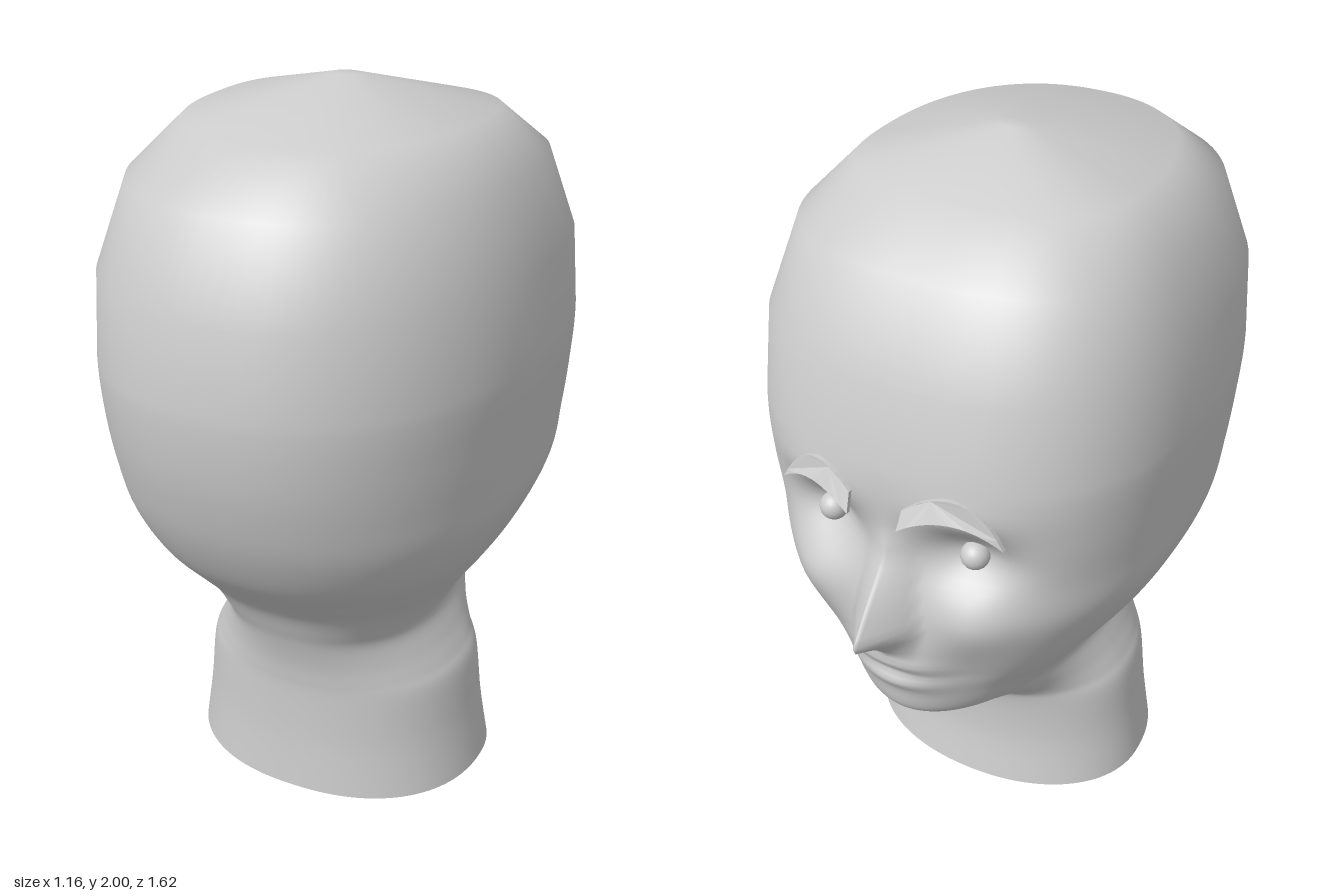
import * as THREE from 'three';

const skin = new THREE.MeshStandardMaterial({ color: 0xcccccc, side: THREE.DoubleSide });
skin.name = 'plain grey';

// Cross-sections: height, half width, back z, front z, squareness of the face side
const SECTIONS = [
  [0, 0.445, 0.41, -0.285, 2.1], [0.16, 0.42, 0.4, -0.26, 2.1], [0.32, 0.4, 0.4, -0.265, 2.1],
  [0.38, 0.375, 0.405, -0.3, 2], [0.44, 0.345, 0.415, -0.4, 1.9], [0.51, 0.318, 0.435, -0.55, 1.9],
  [0.56, 0.335, 0.455, -0.61, 2], [0.64, 0.385, 0.495, -0.63, 2.1], [0.72, 0.44, 0.565, -0.65, 2.2],
  [0.82, 0.5, 0.655, -0.655, 2.3], [0.94, 0.547, 0.725, -0.645, 2.5], [1.06, 0.562, 0.77, -0.63, 2.6],
  [1.2, 0.573, 0.803, -0.63, 2.7], [1.36, 0.58, 0.815, -0.625, 2.7], [1.58, 0.566, 0.8, -0.585, 2.7],
  [1.8, 0.495, 0.7, -0.47, 2.8], [1.92, 0.38, 0.52, -0.3, 2.8], [2, 0.04, 0.06, 0.0, 2], [2, 0, 0.03, 0.03, 2],
];
const CENTRE_Z = 0.03;

const spline = (a, b, c, d, t) =>
  0.5 * (2 * b + (c - a) * t + (2 * a - 5 * b + 4 * c - d) * t * t + (3 * b - a - 3 * c + d) * t ** 3);

// Straight-line lookup in a list of [input, output] points
function lookup(points, v) {
  for (let i = 1; i < points.length; i++) {
    const [a, p] = points[i - 1], [b, q] = points[i];
    if (v >= a && v <= b) return p + (q - p) * (v - a) / (b - a);
  }
  return 0;
}

const NOSE = [[0.79, 0], [0.85, 0.06], [0.91, 0.16], [1.0, 0.1], [1.1, 0.025], [1.18, 0]];
const NOSE_WIDTH = [[0.79, 0.09], [0.9, 0.1], [1.18, 0.06]];
const bump = (x, y, cx, cy, sx, sy) => Math.exp(-(((x - cx) / sx) ** 2) - ((y - cy) / sy) ** 2);

// How far the face stands forward at a point
function faceRelief(x, y) {
  const ax = Math.abs(x);
  let out = 0;
  if (y > 0.79 && y < 1.18) out += lookup(NOSE, y) * Math.max(0, 1 - ax / lookup(NOSE_WIDTH, y));
  out -= 0.08 * bump(ax, y, 0.2, 1.13, 0.12, 0.085);  // eye sockets
  out += 0.012 * bump(ax, y, 0.2, 1.27, 0.13, 0.05);  // brow ridge
  out += 0.025 * bump(ax, y, 0.25, 0.95, 0.1, 0.09);  // cheeks
  out -= 0.025 * bump(ax, y, 0.2, 0.74, 0.08, 0.1);   // hollows beside the mouth
  out += 0.012 * bump(x, y, 0, 0.765, 0.12, 0.025);   // upper lip
  out += 0.012 * bump(x, y, 0, 0.685, 0.1, 0.025);    // lower lip
  out -= 0.012 * bump(x, y, 0, 0.725, 0.13, 0.018);   // mouth line
  return out;
}

function headGeometry() {
  const rows = [];
  SECTIONS.forEach((s, i) => {
    if (i === SECTIONS.length - 1) return rows.push(s);
    const before = SECTIONS[Math.max(i - 1, 0)], next = SECTIONS[i + 1];
    const after = SECTIONS[Math.min(i + 2, SECTIONS.length - 1)];
    const steps = s[0] < 1.3 ? 6 : 1; // the crown keeps its broad bands
    for (let k = 0; k < steps; k++) {
      rows.push(s.map((v, n) => spline(before[n], v, next[n], after[n], k / steps)));
    }
  });
  const cols = 160, pos = [], index = [];
  rows.forEach(([y, w, back, front, square], j) => {
    for (let i = 0; i < cols; i++) {
      const u = (2 * i) / cols - 1;
      const t = Math.sign(u) * Math.PI * Math.abs(u) ** 1.5; // finer at the face
      const s = Math.sin(t), c = Math.cos(t), p = 2 / (c > 0 ? square : 2.25);
      const x = w * Math.sign(s) * Math.abs(s) ** p;
      const reach = c > 0 ? front - CENTRE_Z : back - CENTRE_Z;
      let z = CENTRE_Z + reach * Math.abs(c) ** p;
      if (c > 0) z -= faceRelief(x, y) * Math.min(1, c * 3);
      pos.push(x, y, z);
      if (j < rows.length - 1) {
        const a = j * cols + i, b = j * cols + (i + 1) % cols;
        index.push(a, a + cols, b, b, a + cols, b + cols);
      }
    }
  });
  const g = new THREE.BufferGeometry();
  g.setAttribute('position', new THREE.Float32BufferAttribute(pos, 3));
  g.setIndex(index);
  g.computeVertexNormals();
  return g;
}

// Thin arched plate bent around the forehead
function eyebrowGeometry() {
  const shape = new THREE.Shape();
  shape.moveTo(0.07, 1.245);
  shape.quadraticCurveTo(0.2, 1.335, 0.32, 1.22);
  shape.quadraticCurveTo(0.22, 1.41, 0.075, 1.295);
  shape.closePath();
  const g = new THREE.ExtrudeGeometry(shape, { depth: 0.012, bevelEnabled: false, curveSegments: 12 });
  const p = g.attributes.position;
  for (let i = 0; i < p.count; i++) {
    const x = p.getX(i), y = p.getY(i);
    p.setZ(i, p.getZ(i) - 0.662 + 1.9 * Math.max(0, x - 0.1) ** 2 + (y - 1.3) * 0.45);
  }
  g.computeVertexNormals();
  return g;
}

export function createModel() {
  const model = new THREE.Group();
  const add = (name, geometry) => {
    const mesh = new THREE.Mesh(geometry, skin);
    mesh.name = name;
    model.add(mesh);
    return mesh;
  };
  add('headAndNeck', headGeometry());
  const brow = eyebrowGeometry();
  const eye = new THREE.SphereGeometry(0.038, 20, 14);
  for (const [side, sx] of [['left', 1], ['right', -1]]) {
    add(side + 'Eyebrow', brow).scale.x = sx;
    add(side + 'Eye', eye).position.set(0.21 * sx, 1.13, -0.55);
  }
  return model;
}
